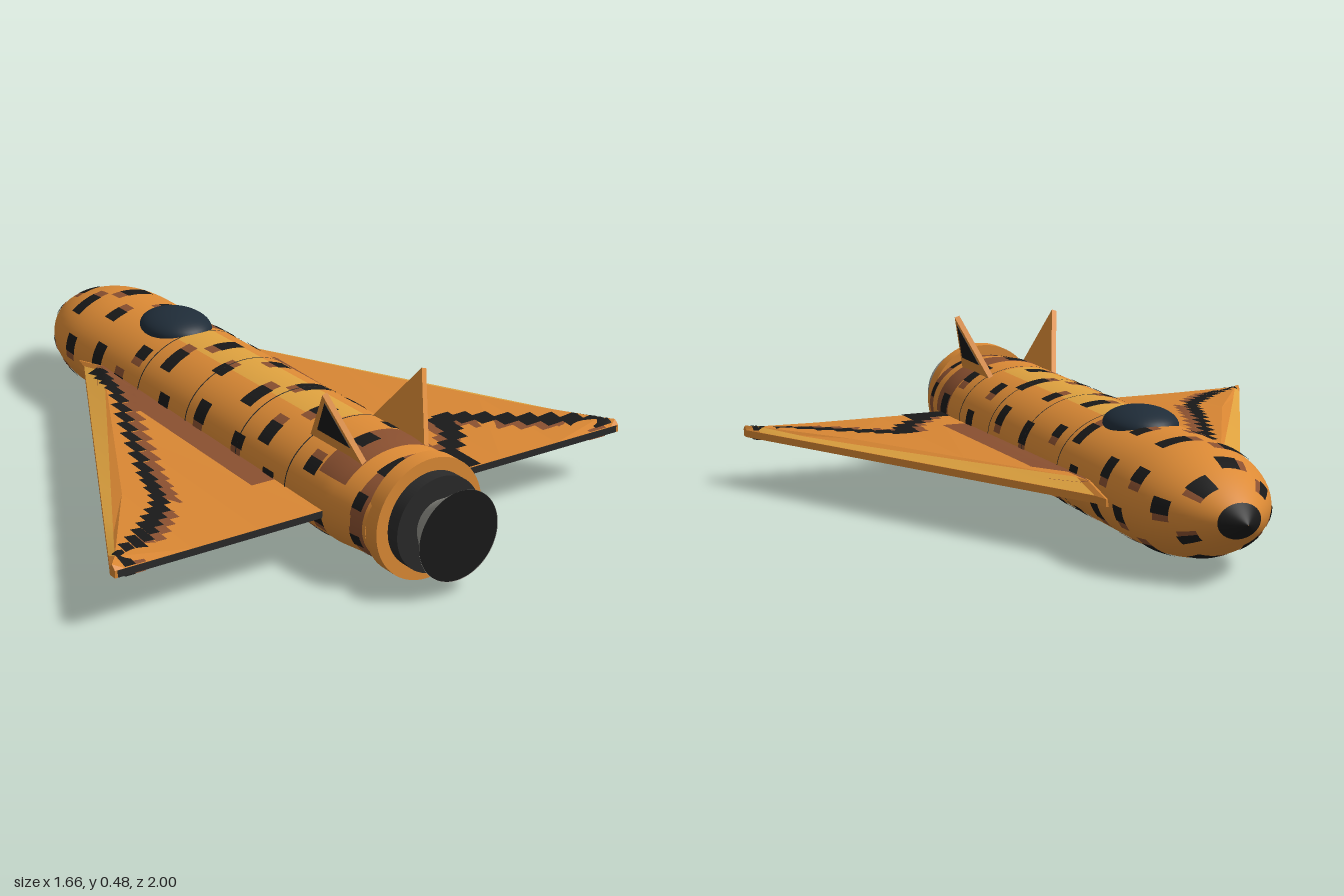
import * as THREE from 'three';

const CY = 0.17, SQUASH = 0.765, TE = 0.68;
const paint = (color) => new THREE.MeshStandardMaterial({ color, side: THREE.DoubleSide });
const orange = paint(0xdc8a35), yellow = paint(0xdfa23f), brown = paint(0x8a5030), black = paint(0x191919);
const flatOrange = paint(0xd88633);
flatOrange.flatShading = true;
const glass = paint(0x1f2c38), metal = paint(0x8e8e87), dark = paint(0x2a2a2a);

function add(group, name, geometry, material) {
  const mesh = new THREE.Mesh(geometry, material);
  mesh.name = name;
  group.add(mesh);
  return mesh;
}

// Half width of the hull at z: ogive nose, straight middle, slight tail taper
function hullRadius(z) {
  if (z < -0.6) return 0.2 * (1 - Math.pow(Math.min(1, (-0.6 - z) / 0.4), 2.7));
  return z > 0.68 ? 0.2 - (z - 0.68) * 0.13 : 0.2;
}

// Lathe about the z axis from [radius, z] points
function turned(points, squash = 1, segments = 64, phi = 0, arc = Math.PI * 2) {
  return new THREE.LatheGeometry(points.map(([r, z]) => new THREE.Vector2(r, z)), segments, phi, arc)
    .rotateX(Math.PI / 2).scale(1, squash, 1).translate(0, CY, 0);
}

// Piece of hull skin between z0 and z1; angle 0 is the top, growing towards +x
function hullSkin(z0, z1, angle = Math.PI, arc = Math.PI * 2, lift = 0, steps = 4) {
  const points = [];
  for (let i = 0; i <= steps; i++) {
    const z = z0 + (z1 - z0) * i / steps;
    points.push([hullRadius(z) + lift, z]);
  }
  const segments = Math.max(4, Math.ceil(arc * 10.2));
  return turned(points, SQUASH, segments, Math.PI - angle - arc / 2, arc);
}

// Wing planform and heights
const leading = (x) => x < 0.21 ? -0.59 : Math.min(0.655, -0.54 + (x - 0.215) * 1.95);
const ridge = (x) => leading(x) + Math.min(0.12, 0.4 * (TE - leading(x)));
const ridgeY = (x) => 0.192 - (x - 0.2) * 0.02;
const EDGE = 0.167, UNDER = 0.146;
function wingTop(x, z) {
  const a = leading(x), b = ridge(x);
  const t = z < b ? (z - a) / (b - a) : (TE - z) / (TE - b);
  return EDGE + (ridgeY(x) - EDGE) * THREE.MathUtils.clamp(t, 0, 1);
}

// Wing lofted through five-sided sections from root to tip
function wingGeometry(side) {
  const stations = [0.12, 0.205, 0.2151, 0.4, 0.6, 0.8, 0.828];
  const pos = [], index = [];
  const tri = (a, b, c) => index.push(...(side > 0 ? [a, b, c] : [a, c, b]));
  stations.forEach((x, i) => {
    const a = leading(x), b = ridge(x);
    [[a, UNDER], [a, EDGE], [b, ridgeY(x)], [TE, EDGE], [TE, UNDER]]
      .forEach(([z, y]) => pos.push(side * x, y, z));
    if (i === 0) return;
    for (let k = 0; k < 5; k++) {
      const p = (i - 1) * 5 + k, q = (i - 1) * 5 + (k + 1) % 5;
      tri(p, q, p + 5);
      tri(q, q + 5, p + 5);
    }
  });
  const end = (stations.length - 1) * 5;
  for (let k = 1; k < 4; k++) tri(end, end + k, end + k + 1);
  const g = new THREE.BufferGeometry();
  g.setAttribute('position', new THREE.Float32BufferAttribute(pos, 3));
  g.setIndex(index);
  g.computeVertexNormals();
  return g;
}

// Four-cornered paint patch ([x, z] corners) laid over or under a wing
function drape(side, corners, lift, below = false) {
  const g = new THREE.PlaneGeometry(1, 1, 6, 6), p = g.attributes.position;
  const [a, b, c, d] = corners;
  for (let i = 0; i < p.count; i++) {
    const u = p.getX(i) + 0.5, v = 0.5 - p.getY(i);
    const mix = (k) => (a[k] * (1 - u) + b[k] * u) * (1 - v) + (d[k] * (1 - u) + c[k] * u) * v;
    const x = Math.min(0.826, mix(0)), z = THREE.MathUtils.clamp(mix(1), leading(x), TE);
    p.setXYZ(i, side * x, below ? UNDER - lift : wingTop(x, z) + lift, z);
  }
  // keep faces turned outwards on each side and surface
  if ((side < 0) !== below) {
    const idx = g.index.array;
    for (let i = 0; i < idx.length; i += 3) [idx[i], idx[i + 1]] = [idx[i + 1], idx[i]];
  }
  g.computeVertexNormals();
  return g;
}
const block = (x, z, w, h) =>
  [[x - w / 2, z - h / 2], [x + w / 2, z - h / 2], [x + w / 2, z + h / 2], [x - w / 2, z + h / 2]];

function buildWing(side) {
  const wing = new THREE.Group();
  wing.name = side > 0 ? 'leftWing' : 'rightWing';
  add(wing, 'wingPanel', wingGeometry(side), flatOrange);
  const band = [[0.216, leading(0.216)], [0.8, leading(0.8)], [0.8, ridge(0.8)], [0.216, ridge(0.216)]];
  add(wing, 'leadingEdgeBand', drape(side, band, 0.001), yellow);
  add(wing, 'rootStripe', drape(side, [[0.19, -0.5], [0.275, -0.36], [0.275, 0.46], [0.19, 0.46]], 0.0015), brown);

  // Stepped camouflage streak, different on each wing
  const path = side > 0
    ? [[0.81, 0.66], [0.7, 0.58], [0.6, 0.51], [0.5, 0.43], [0.41, 0.38], [0.4, 0.47], [0.32, 0.56], [0.24, 0.65]]
    : [[0.22, -0.46], [0.27, -0.25], [0.38, 0], [0.48, 0.25], [0.54, 0.43], [0.66, 0.55], [0.8, 0.66]];
  for (let i = 0; i < path.length - 1; i++) {
    const steps = side > 0 ? 2 : 4;
    for (let k = 0; k < steps; k++) {
      const t = (k + 0.5) / steps;
      const x = path[i][0] + (path[i + 1][0] - path[i][0]) * t;
      const z = path[i][1] + (path[i + 1][1] - path[i][1]) * t;
      const w = side > 0 ? 0.06 : 0.032, h = side > 0 ? 0.06 : 0.07;
      for (const below of [false, true]) {
        add(wing, 'darkStreak', drape(side, block(x, z, w, h), 0.003, below), black);
        add(wing, 'brownStreak', drape(side, block(x - 0.03, z + 0.01, w, h), 0.002, below), brown);
      }
    }
  }
  if (side > 0) add(wing, 'rearPatch', drape(side, block(0.26, 0.64, 0.14, 0.09), 0.003), black);
  add(wing, 'trailingEdge', new THREE.BoxGeometry(0.62, 0.02, 0.002).translate(side * 0.51, 0.1565, TE), dark);
  return wing;
}

// Leaning triangular tail fin with a dark outer panel
function buildFin(side) {
  const fin = new THREE.Group();
  fin.name = side > 0 ? 'leftFin' : 'rightFin';
  const plate = (pts, depth, offset) => new THREE.ExtrudeGeometry(
    new THREE.Shape(pts.map(([z, y]) => new THREE.Vector2(z, y))), { depth, bevelEnabled: false })
    .rotateY(-Math.PI / 2).translate(depth / 2 + offset, 0, 0);
  add(fin, 'finBlade', plate([[-0.13, 0], [0.11, 0], [0.01, 0.19]], 0.016, 0), orange);
  add(fin, 'finPanel', plate([[-0.075, 0.045], [0.072, 0.045], [0.01, 0.165]], 0.002, side * 0.0085), black);
  fin.position.set(side * 0.1, 0.292, 0.62);
  fin.rotation.z = -side * 0.33;
  return fin;
}

export function createModel() {
  const model = new THREE.Group();
  model.name = 'spaceplane';

  // Hull, nose tip and panel seams
  add(model, 'hull', hullSkin(-1, 0.84, Math.PI, Math.PI * 2, 0, 92), orange);
  add(model, 'noseTip', hullSkin(-1, -0.95, 0, Math.PI * 2, 0.001), black);
  for (const z of [-0.25, 0.01, 0.27, 0.51])
    add(model, 'hullSeam', hullSkin(z - 0.002, z + 0.002, 0, Math.PI * 2, 0.003, 1), dark);
  add(model, 'spineStripe', hullSkin(-0.25, 0.5, 0, 0.62, 0.001), yellow);
  add(model, 'tailBand', hullSkin(0.785, 0.83, 0, Math.PI * 2, 0.001), brown);
  add(model, 'tailPatch', hullSkin(0.62, 0.73, 0.3, 2.6, 0.001), brown);

  // Camouflage blocks around the hull in staggered rings: z, first angle
  const rings = [[-0.82, -0.2], [-0.65, 0.2], [-0.49, 0.3], [-0.3, 0.75], [-0.11, 0.12],
    [0.075, 0.4], [0.27, 0.3], [0.43, -0.1], [0.65, -0.2], [0.8, 0.45]];
  rings.forEach(([z, first], row) => {
    for (let k = 0; k < 8; k++) {
      const angle = first + k * Math.PI / 4;
      const shift = row === 9 ? 0 : (k % 2) * -0.06;
      const arc = 0.36 + 0.12 * Math.sin(row * 2.3 + k * 1.7);
      const half = row === 9 ? 0.018 : 0.026, c = z + shift;
      const turn = k % 3 ? 1 : -1;
      add(model, 'darkBlock', hullSkin(c - half, c + half, angle, arc, 0.003, 2), black);
      add(model, 'brownBlock', hullSkin(c - half, c + half * 0.8, angle + turn * arc * 0.6, 0.22, 0.002, 2), brown);
    }
  });

  // Canopy
  add(model, 'canopy', new THREE.SphereGeometry(1, 40, 24).scale(0.1, 0.05, 0.125).translate(0, 0.31, -0.36), glass);

  // Engine: collar, dark mount and flared bell
  add(model, 'engineCollar', turned([[0.12, 0.83], [0.171, 0.83], [0.171, 0.83], [0.171, 0.878], [0.171, 0.878], [0.12, 0.878]]), orange);
  add(model, 'engineMount', turned([[0.135, 0.87], [0.135, 0.918], [0.135, 0.918], [0.05, 0.918]]), dark);
  add(model, 'engineBell', turned([[0.07, 0.915], [0.085, 0.94], [0.105, 0.97], [0.127, 1]]), metal);
  add(model, 'nozzleMouth', new THREE.CircleGeometry(0.126, 64).translate(0, CY, 0.999), black);

  for (const side of [1, -1]) model.add(buildWing(side), buildFin(side));
  return model;
}
